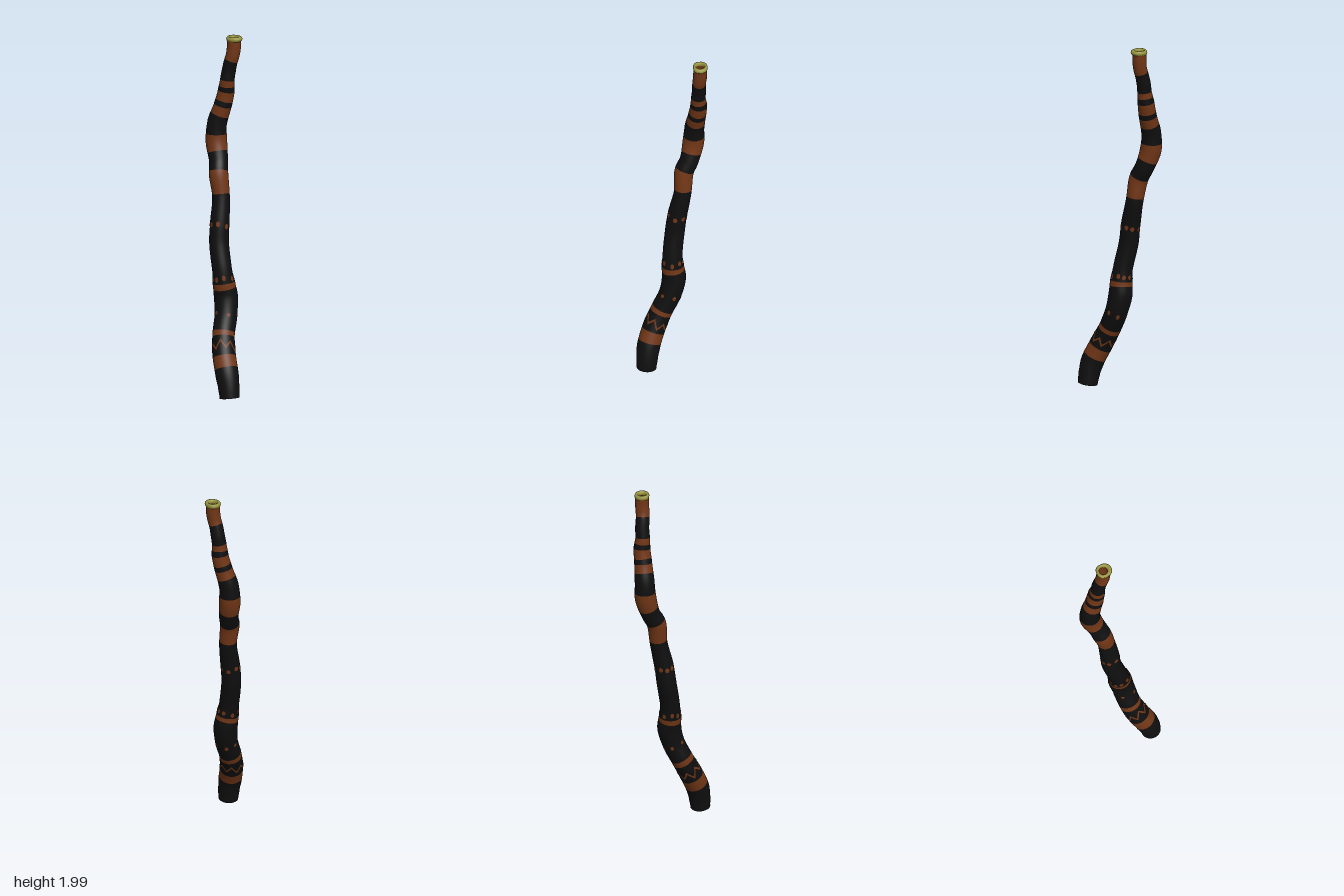
import * as THREE from 'three';

// Cross-sections up the branch: [x, y, z, radius]
const SECTIONS = [
  [-0.110, 0.017, 0.166, 0.055], [-0.109, 0.08, 0.157, 0.060], [-0.106, 0.15, 0.138, 0.065],
  [-0.088, 0.25, 0.092, 0.065], [-0.056, 0.35, 0.050, 0.062], [-0.016, 0.45, 0.023, 0.063],
  [0.000, 0.55, 0.003, 0.067], [-0.008, 0.62, -0.003, 0.063], [-0.013, 0.70, -0.014, 0.055],
  [-0.008, 0.85, -0.046, 0.055], [0.003, 0.95, -0.054, 0.054], [0.028, 1.10, -0.072, 0.049],
  [0.030, 1.23, -0.096, 0.054], [0.051, 1.29, -0.120, 0.053], [0.065, 1.40, -0.156, 0.060],
  [0.071, 1.50, -0.157, 0.055], [0.092, 1.60, -0.134, 0.050], [0.106, 1.68, -0.121, 0.047],
  [0.107, 1.75, -0.112, 0.040], [0.113, 1.80, -0.106, 0.039], [0.116, 1.85, -0.095, 0.038],
  [0.122, 1.89, -0.084, 0.038], [0.127, 1.93, -0.080, 0.039], [0.128, 1.985, -0.079, 0.038],
];
const BORE = 0.68; // bore radius as a share of the outer radius
const path = new THREE.CatmullRomCurve3(SECTIONS.map(([x, y, z]) => new THREE.Vector3(x, y, z)));
const LAST = SECTIONS.length - 1;

const black = new THREE.MeshStandardMaterial({ color: 0x100f0f });
const brown = new THREE.MeshStandardMaterial({ color: 0x703616 });
const blackInside = new THREE.MeshStandardMaterial({ color: 0x100f0f, side: THREE.BackSide });
const brownInside = new THREE.MeshStandardMaterial({ color: 0x703616, side: THREE.BackSide });
const wax = new THREE.MeshStandardMaterial({ color: 0x98943f });

// Centre, radius and perpendicular axes of the branch at height y
function frameAt(y) {
  let lo = 0, hi = 1;
  for (let i = 0; i < 24; i++) {
    const mid = (lo + hi) / 2;
    if (path.getPoint(mid).y < y) lo = mid; else hi = mid;
  }
  const t = lo * LAST, i = Math.min(Math.floor(t), LAST - 1);
  const radius = THREE.MathUtils.lerp(SECTIONS[i][3], SECTIONS[i + 1][3], THREE.MathUtils.smoothstep(t - i, 0, 1));
  const axis = path.getTangent(lo);
  const u = new THREE.Vector3(1, 0, 0).addScaledVector(axis, -axis.x).normalize();
  const v = new THREE.Vector3().crossVectors(u, axis);
  return { centre: path.getPoint(lo), radius, u, v, axis };
}

// Curved sheet: place(s, t) returns [position, normal] for s around, t along
function sheet(name, material, nAround, nAlong, place) {
  const pos = [], nor = [], idx = [];
  for (let j = 0; j <= nAlong; j++) {
    for (let i = 0; i <= nAround; i++) {
      const [p, n] = place(i / nAround, j / nAlong);
      pos.push(p.x, p.y, p.z);
      nor.push(n.x, n.y, n.z);
      if (i < nAround && j < nAlong) {
        const a = j * (nAround + 1) + i, b = a + nAround + 1;
        idx.push(a, a + 1, b, b, a + 1, b + 1);
      }
    }
  }
  const g = new THREE.BufferGeometry();
  g.setAttribute('position', new THREE.Float32BufferAttribute(pos, 3));
  g.setAttribute('normal', new THREE.Float32BufferAttribute(nor, 3));
  g.setIndex(idx);
  const mesh = new THREE.Mesh(g, material);
  mesh.name = name;
  return mesh;
}

// Point and outward normal on the branch at height y and angle a
function onBranch(y, a, scale = 1, lift = 0) {
  const f = frameAt(y);
  const n = f.u.clone().multiplyScalar(Math.cos(a)).addScaledVector(f.v, Math.sin(a));
  return [f.centre.clone().addScaledVector(n, f.radius * scale + lift), n];
}

function band(name, material, y0, y1, scale = 1) {
  const rows = Math.max(2, Math.ceil((y1 - y0) / 0.015));
  return sheet(name, material, 40, rows, (s, t) =>
    onBranch(y0 + (y1 - y0) * t, -s * Math.PI * 2, scale));
}

export function createModel() {
  const model = new THREE.Group();
  model.name = 'woodenWindInstrument';

  // Painted bands, alternating black and brown from the bottom
  const edges = [0.017, 0.175, 0.235, 0.335, 0.362, 0.6, 0.63, 1.12, 1.24, 1.34, 1.44,
    1.55, 1.6, 1.63, 1.685, 1.715, 1.75, 1.865, 1.985];
  for (let i = 0; i < edges.length - 1; i++) {
    const dark = i % 2 === 0;
    model.add(band(dark ? 'blackBand' : 'brownBand', dark ? black : brown, edges[i], edges[i + 1]));
  }

  // Hollow bore and the rim of the open bottom end
  model.add(band('lowerBore', blackInside, 0.017, 0.4, BORE));
  model.add(band('upperBore', brownInside, 0.4, 1.985, BORE));
  const down = frameAt(0.017).axis.negate();
  model.add(sheet('bottomRim', black, 40, 1, (s, t) =>
    [onBranch(0.017, -s * Math.PI * 2, BORE + (1 - BORE) * t)[0], down]));

  // Wavy brown line inside the lower black band
  const wave = (s) => 0.283 + 0.018 * Math.asin(Math.sin(s * Math.PI * 14)) / (Math.PI / 2)
    + 0.008 * Math.sin(s * Math.PI * 4);
  model.add(sheet('zigzagLine', brown, 112, 2, (s, t) =>
    onBranch(wave(s) + 0.014 * (t - 0.5), -s * Math.PI * 2, 1, 0.0012)));

  // Rows of painted dots: height, count, half-height, half-angle
  for (const [y, count, h, w] of [[0.45, 6, 0.012, 0.16], [0.657, 9, 0.014, 0.18], [0.948, 8, 0.014, 0.22]]) {
    for (let k = 0; k < count; k++) {
      const a0 = (k / count) * Math.PI * 2 + 0.15 * Math.sin(k * 5);
      const y0 = y + 0.006 * Math.sin(k * 2.4);
      model.add(sheet('paintedDot', brown, 10, 2, (s, t) => {
        const e = Math.sin(Math.PI * s) * (2 * t - 1);
        return onBranch(y0 + h * e, a0 + w * Math.cos(Math.PI * s), 1, 0.0012);
      }));
    }
  }

  // Wax mouthpiece ring, its outer side swollen toward the front
  const ring = new THREE.TorusGeometry(0.0325, 0.0095, 14, 40).rotateX(Math.PI / 2);
  const p = ring.attributes.position;
  for (let i = 0; i < p.count; i++) {
    const x = p.getX(i), z = p.getZ(i), a = Math.atan2(z, x);
    const outer = (Math.hypot(x, z) - 0.023) / 0.019;
    const swell = 1 + outer * (0.2 * Math.max(0, Math.cos(a - 1.3)) ** 3 + 0.03 * Math.sin(a * 4));
    p.setXYZ(i, x * swell, p.getY(i) * 1.5, z * swell);
  }
  ring.computeVertexNormals();
  const mouthpiece = new THREE.Mesh(ring, wax);
  mouthpiece.name = 'waxMouthpiece';
  mouthpiece.position.set(0.128, 1.9858, -0.08);
  model.add(mouthpiece);

  return model;
}
